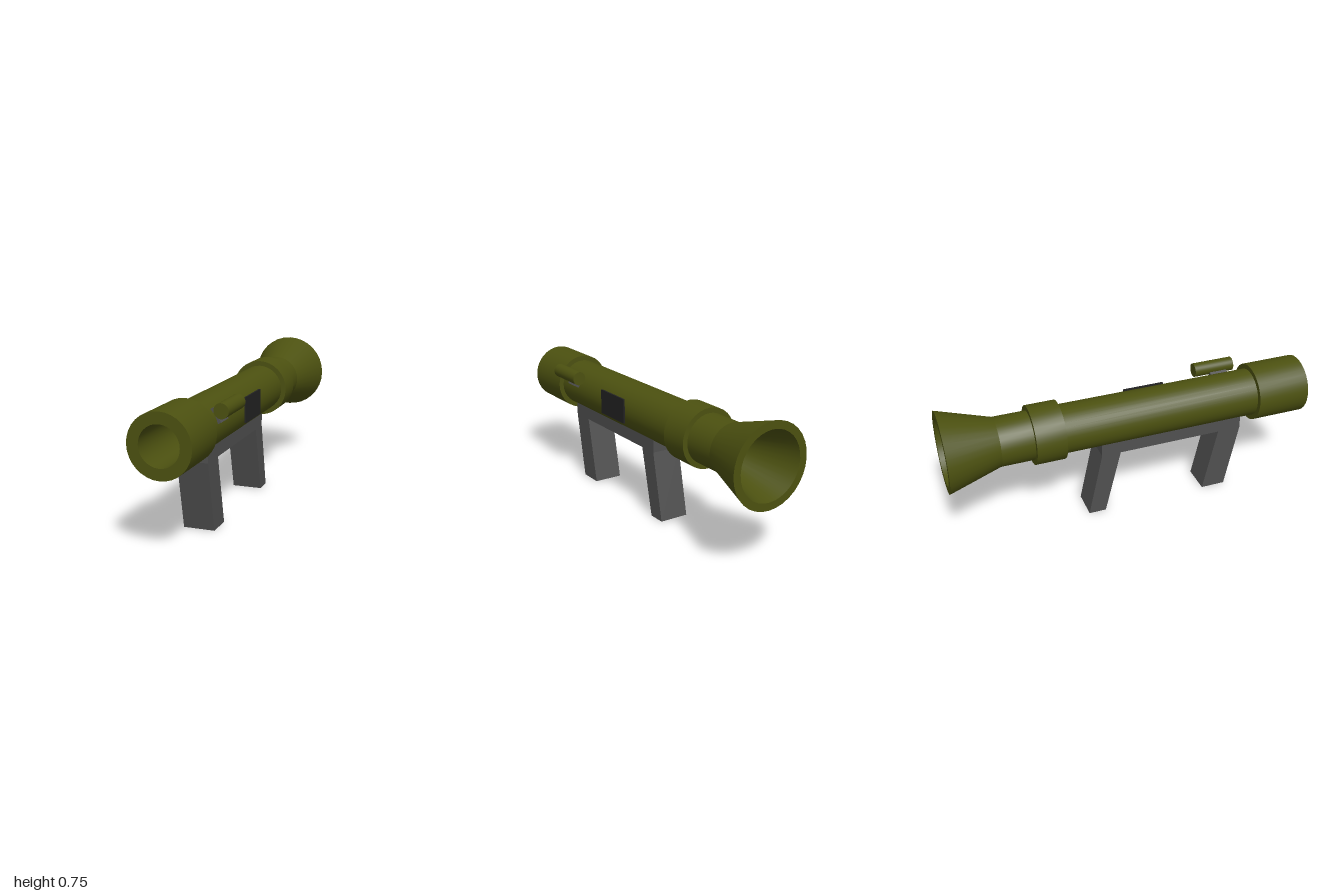
import * as THREE from 'three';
import { toCreasedNormals } from 'three/addons/utils/BufferGeometryUtils.js';

const AXIS_Y = 0.535; // height of the tube's centre line
const SIDES = 32;

function material(name, color) {
  const m = new THREE.MeshStandardMaterial({ color });
  m.name = name;
  return m;
}

export function createModel() {
  const group = new THREE.Group();
  const olive = material('olive', 0x4c5110);
  const grey = material('grey', 0x505050);
  const black = material('black', 0x232323);

  const add = (name, geometry, mat, x = 0, y = 0, z = 0) => {
    const mesh = new THREE.Mesh(geometry, mat);
    mesh.name = name;
    mesh.position.set(x, y, z);
    group.add(mesh);
    return mesh;
  };

  // Hollow tube with two collars and a flared rear; profile is [radius, z],
  // forward along the outside and back through the bore
  const profile = [
    [0.215, -1], [0.13, -0.72], [0.13, -0.545], [0.157, -0.545], [0.157, -0.385],
    [0.13, -0.385], [0.13, 0.705], [0.157, 0.705], [0.157, 1],
    [0.1, 1], [0.1, -0.72], [0.175, -1], [0.215, -1],
  ].map(([r, z]) => new THREE.Vector2(r, z));
  const tube = new THREE.LatheGeometry(profile, SIDES).rotateX(Math.PI / 2);
  add('launchTube', toCreasedNormals(tube, 0.25), olive, 0, AXIS_Y, 0);

  // Grip bar with two slanted legs, drawn as [z, y] and extruded across x
  const outline = [
    [0.63, 0.465], [0.63, 0.365], [0.555, 0], [0.42, 0], [0.5, 0.365],
    [-0.075, 0.365], [-0.165, 0], [-0.26, 0], [-0.18, 0.365], [-0.18, 0.465],
  ].map(([z, y]) => new THREE.Vector2(z, y));
  const grip = new THREE.ExtrudeGeometry(new THREE.Shape(outline), { depth: 0.162, bevelEnabled: false });
  grip.translate(0, 0, -0.081).rotateY(-Math.PI / 2);
  add('gripFrame', grip, grey);

  // Sight on the left side, with its mount lying against the tube
  const sight = new THREE.CylinderGeometry(0.038, 0.038, 0.23, SIDES).rotateX(Math.PI / 2);
  add('sight', sight, olive, 0.165, 0.635, 0.56);
  const angle = 0.49;
  const mount = add('sightMount', new THREE.BoxGeometry(0.034, 0.08, 0.1), grey,
    0.125 * Math.cos(angle), AXIS_Y + 0.125 * Math.sin(angle), 0.57);
  mount.rotation.z = angle;

  // Dark plate on the left side
  add('sidePlate', new THREE.BoxGeometry(0.009, 0.135, 0.23), black, 0.134, 0.547, 0.135);

  return group;
}
